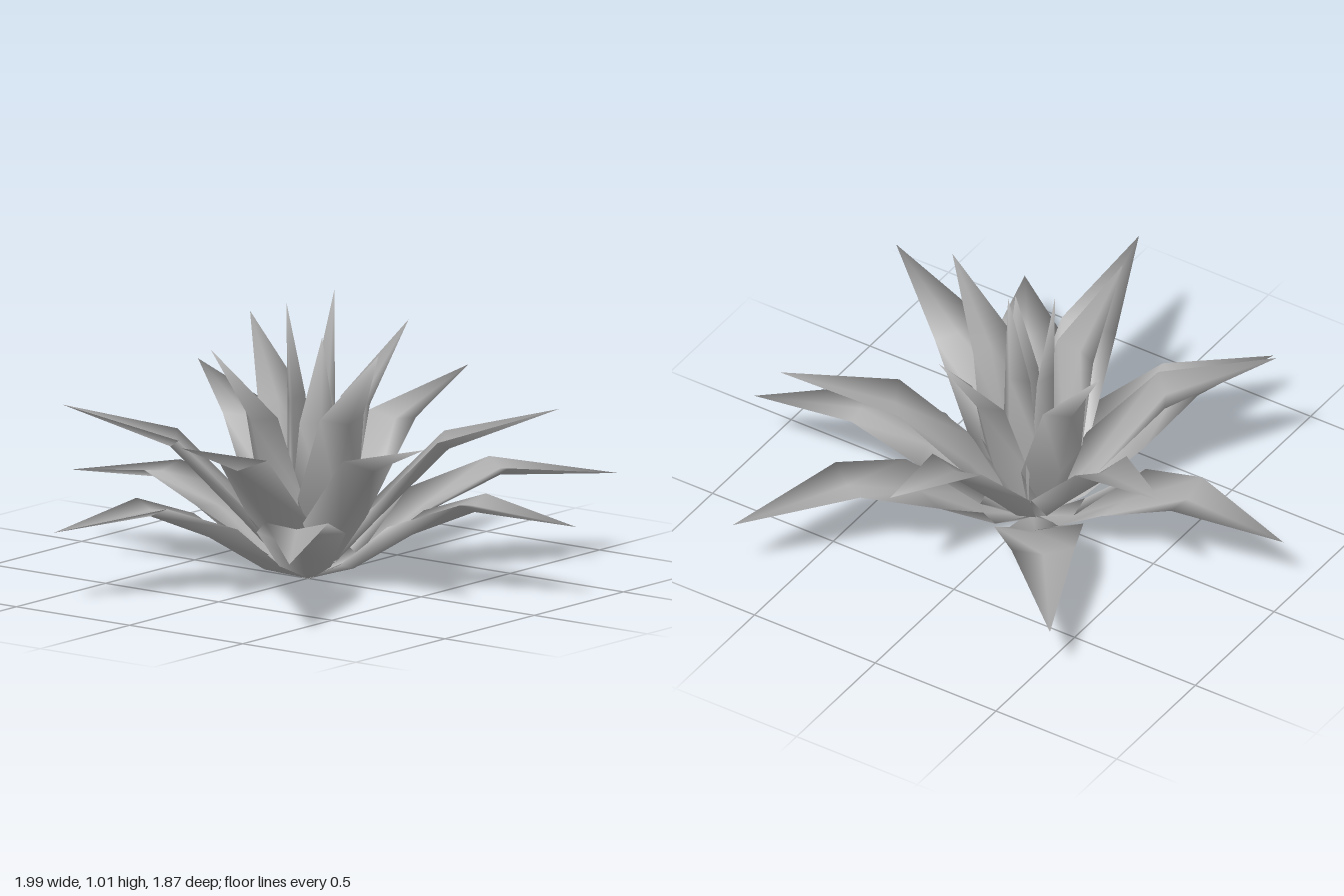
import * as THREE from 'three';

// Leaf profiles: [radius share of tip, keel height, half width, channel depth]
const OUTER = [[0, 0, 0.02, 0.004], [0.17, 0.05, 0.09, 0.03], [0.39, 0.19, 0.155, 0.06], [0.62, 0.29, 0.11, 0.045], [1, 0.27, 0, 0]];
const MIDDLE = [[0, 0.01, 0.02, 0.004], [0.11, 0.06, 0.07, 0.02], [0.27, 0.21, 0.125, 0.05], [0.56, 0.47, 0.105, 0.05], [1, 0.62, 0, 0]];
const INNER = [[0, 0.01, 0.02, 0.004], [0.2, 0.07, 0.06, 0.02], [0.41, 0.3, 0.125, 0.06], [0.58, 0.59, 0.09, 0.05], [1, 0.87, 0, 0]];
const CENTRE = [[0, 0.02, 0.02, 0.004], [0.5, 0.12, 0.05, 0.02], [0.95, 0.38, 0.085, 0.05], [0.95, 0.65, 0.065, 0.04], [1, 1, 0, 0]];

// Tip positions [x, z, tip height] for each ring
const RINGS = [
  { name: 'outerLeaf', profile: OUTER, tips: [[-1, 0.06, 0.265], [-0.6, -0.81, 0.265], [0.63, -0.94, 0.3], [0.99, -0.25, 0.27], [0.58, 0.84, 0.265], [-0.39, 0.93, 0.265]] },
  { name: 'middleLeaf', profile: MIDDLE, tips: [[0.12, 0.86, 0.62], [0.8, 0.36, 0.62], [0.74, -0.47, 0.62], [0.03, -0.86, 0.62], [-0.77, -0.36, 0.62], [-0.66, 0.54, 0.62]] },
  { name: 'innerLeaf', profile: INNER, tips: [[0.43, 0.15, 0.87], [-0.1, 0.42, 0.87], [-0.39, -0.17, 0.87], [0.13, -0.4, 0.87]] },
  { name: 'centreLeaf', profile: CENTRE, tips: [[0.03, -0.11, 1.01], [-0.08, 0.02, 0.975], [0.11, 0.06, 0.88]] },
];

const GROOVE = 0.5; // height of the upper groove between keel and edges

// Fleshy channelled leaf: each closed cross-section is left edge, groove, right edge, keel
function leafGeometry(profile, length, tipHeight) {
  const last = profile.length - 1;
  const rise = tipHeight / profile[last][1];
  const keel = profile.map(([r, y]) => new THREE.Vector2(r * length, y * rise));
  const positions = [];
  const index = [0, 2, 1, 0, 3, 2];
  for (let i = 0; i < last; i++) {
    const [, , w, depth] = profile[i];
    const t = keel[i + 1].clone().sub(keel[Math.max(i - 1, 0)]).normalize();
    // edges and groove are lifted towards the inner, upper side
    const up = new THREE.Vector2(-t.y, t.x).multiplyScalar(depth);
    const { x, y } = keel[i];
    positions.push(
      x + up.x, y + up.y, -w,
      x + up.x * GROOVE, y + up.y * GROOVE, 0,
      x + up.x, y + up.y, w,
      x, y, 0,
    );
    for (let s = 0; s < 4; s++) {
      const a = i * 4 + s;
      const b = i * 4 + ((s + 1) % 4);
      if (i === last - 1) index.push(a, b, last * 4);
      else index.push(a, b, a + 4, b, b + 4, a + 4);
    }
  }
  positions.push(keel[last].x, keel[last].y, 0);
  const geometry = new THREE.BufferGeometry();
  geometry.setAttribute('position', new THREE.Float32BufferAttribute(positions, 3));
  geometry.setIndex(index);
  geometry.computeVertexNormals();
  return geometry;
}

export function createModel() {
  const leafGrey = new THREE.MeshStandardMaterial({ color: 0xb4b4b4 });
  leafGrey.name = 'leafGrey';
  const plant = new THREE.Group();
  plant.name = 'rosettePlant';
  for (const { name, profile, tips } of RINGS) {
    const ring = new THREE.Group();
    ring.name = name + 'Ring';
    for (const [x, z, height] of tips) {
      const leaf = new THREE.Mesh(leafGeometry(profile, Math.hypot(x, z), height), leafGrey);
      leaf.name = name;
      leaf.rotation.y = -Math.atan2(z, x);
      ring.add(leaf);
    }
    plant.add(ring);
  }
  return plant;
}
